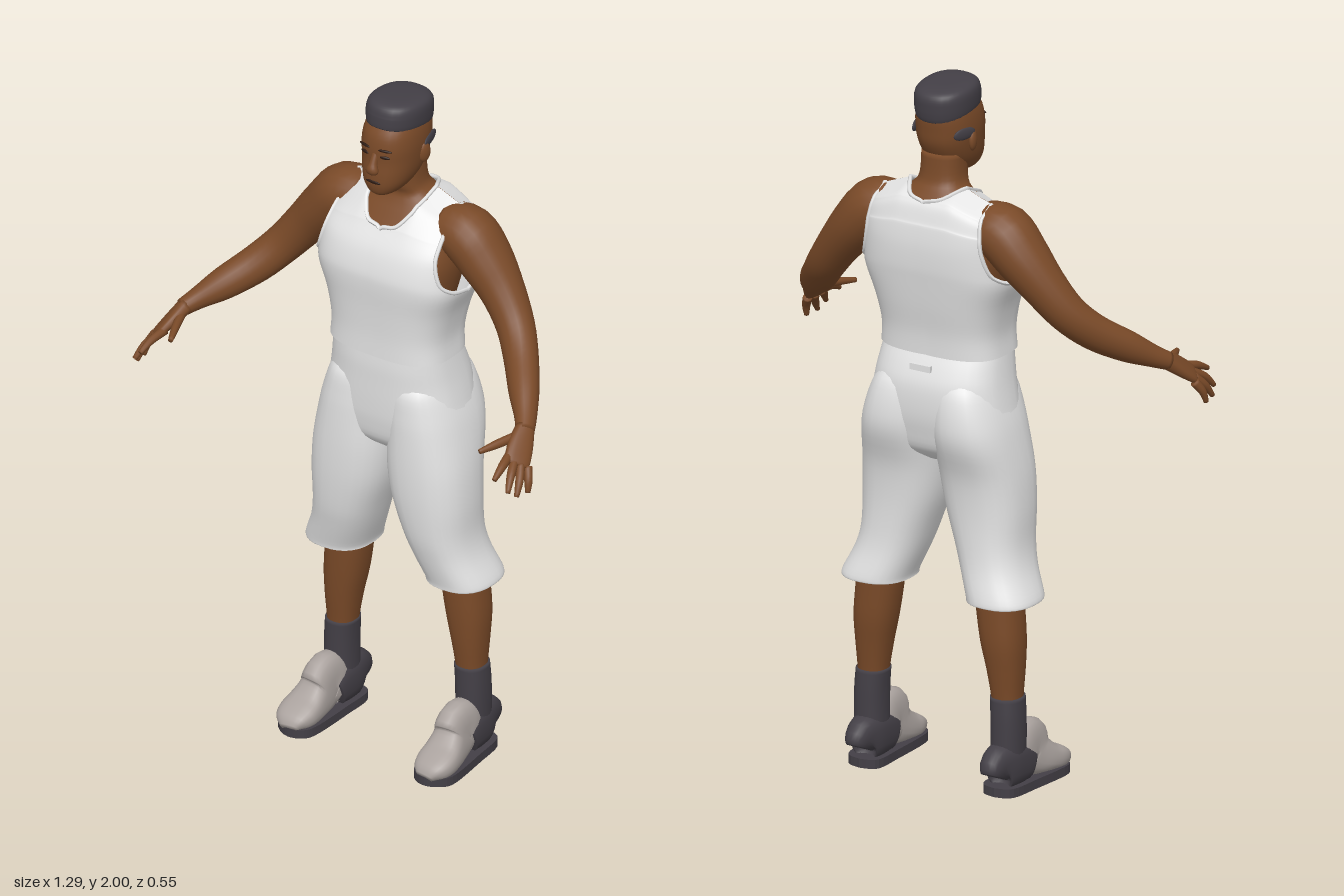
import * as THREE from 'three';
import { mergeGeometries, mergeVertices } from 'three/addons/utils/BufferGeometryUtils.js';

const V = (x, y, z) => new THREE.Vector3(x, y, z);

const material = (name, color, side = THREE.FrontSide) => {
  const m = new THREE.MeshStandardMaterial({ color, side });
  m.name = name;
  return m;
};

// Insert Catmull-Rom rows between the given rows of numbers
function smooth(rows, n = 4) {
  const out = [];
  for (let i = 0; i < rows.length - 1; i++) {
    const a = rows[Math.max(0, i - 1)], b = rows[i], c = rows[i + 1], d = rows[Math.min(rows.length - 1, i + 2)];
    for (let k = 0; k < n; k++) {
      const t = k / n;
      out.push(b.map((_, q) => b[q] + 0.5 * t * (c[q] - a[q] + t * (2 * a[q] - 5 * b[q] + 4 * c[q] - d[q]
        + t * (3 * (b[q] - c[q]) + d[q] - a[q])))));
    }
  }
  out.push(rows[rows.length - 1]);
  return out;
}

const pow = (c, p) => Math.sign(c) * Math.abs(c) ** (2 / p);

// Closed skin over rings of points, with capped ends
function skinRings(rings) {
  const n = rings[0].length, pos = [], idx = [];
  rings.forEach(r => r.forEach(p => pos.push(p.x, p.y, p.z)));
  for (let i = 0; i < rings.length - 1; i++) for (let j = 0; j < n; j++) {
    const a = i * n + j, b = i * n + (j + 1) % n;
    idx.push(a, a + n, b, b, a + n, b + n);
  }
  [0, rings.length - 1].forEach((e, end) => {
    const c = V(0, 0, 0);
    rings[e].forEach(p => c.addScaledVector(p, 1 / n));
    const k = pos.length / 3;
    pos.push(c.x, c.y, c.z);
    for (let j = 0; j < n; j++) {
      const a = e * n + j, b = e * n + (j + 1) % n;
      if (end) idx.push(k, b, a);
      else idx.push(k, a, b);
    }
  });
  const g = new THREE.BufferGeometry();
  g.setAttribute('position', new THREE.Float32BufferAttribute(pos, 3));
  g.setIndex(idx);
  g.computeVertexNormals();
  return g;
}

// Level rings, bottom to top: [y, centre x, half width, front z, back z]
const stack = (rows, p = 2.3, n = 28) => skinRings(smooth(rows).map(([y, cx, rx, zf, zb]) =>
  Array.from({ length: n }, (_, j) => {
    const a = j / n * Math.PI * 2;
    return V(cx + rx * pow(Math.cos(a), p), y, (zf + zb) / 2 + (zf - zb) / 2 * pow(Math.sin(a), p));
  })));

// Rings along a path: [x, y, z, radius along side, other radius]
function limb(rows, side, p = 2, n = 20) {
  const s = smooth(rows), c = s.map(r => V(r[0], r[1], r[2]));
  return skinRings(s.map((r, i) => {
    const T = c[Math.min(i + 1, c.length - 1)].clone().sub(c[Math.max(i - 1, 0)]).normalize();
    const S = side.clone().addScaledVector(T, -side.dot(T)).normalize();
    const N = S.clone().cross(T);
    return Array.from({ length: n }, (_, j) => {
      const a = j / n * Math.PI * 2;
      return c[i].clone().addScaledVector(S, r[3] * pow(Math.cos(a), p)).addScaledVector(N, r[4] * pow(Math.sin(a), p));
    });
  }));
}

// Copy to the other side in x and keep faces outward
function mirrored(geo) {
  const g = geo.clone().scale(-1, 1, 1), ix = g.index.array;
  for (let i = 0; i < ix.length; i += 3) [ix[i], ix[i + 1]] = [ix[i + 1], ix[i]];
  g.computeVertexNormals();
  return g;
}

const blob = (x, y, z, sx, sy, sz, ry = 0) =>
  new THREE.SphereGeometry(1, 16, 12).scale(sx, sy, sz).rotateY(ry).translate(x, y, z);

// Tank top halves with neck and arm openings, plus the edge paths
function tankTop() {
  // y, body half width, sheet edge, front neck, back neck, front z, back z
  const rows = smooth([
    [1.235, .185, .185, 0, 0, .02, -.23], [1.30, .182, .182, 0, 0, .02, -.235], [1.38, .198, .198, 0, 0, .025, -.25],
    [1.455, .225, .225, 0, 0, .032, -.262], [1.50, .225, .20, 0, 0, .03, -.268], [1.56, .22, .183, 0, 0, .012, -.27],
    [1.612, .215, .178, 0, 0, -.02, -.265], [1.626, .214, .177, .045, 0, -.03, -.26], [1.66, .21, .174, .073, 0, -.06, -.25],
    [1.678, .205, .172, .08, 0, -.08, -.24], [1.69, .205, .171, .085, .05, -.105, -.225], [1.715, .2, .17, .09, .09, -.16, -.161],
  ]);
  const N = 16, neck = [], arm = [], sheets = [];
  [1, -1].forEach((face, f) => {
    const pos = [], idx = [], nk = [], ar = [];
    rows.forEach((r, i) => {
      const [y, w, edge, nf, nb, zf, zb] = r;
      const inner = Math.max(0, f ? nb : nf), outer = Math.min(w, edge);
      const drop = .035 * THREE.MathUtils.smoothstep(y, 1.55, 1.7);
      for (let j = 0; j <= N; j++) {
        const x = inner + (outer - inner) * Math.sin(j / N * Math.PI / 2);
        const bulge = Math.max(0, 1 - (x / w) ** 3) ** (1 / 3);
        const p = V(x, y - drop * Math.max(0, (x - .08) / .09), (zf + zb) / 2 + face * (zf - zb) / 2 * bulge);
        pos.push(p.x, p.y, p.z);
        if (j === 0 && (inner > 0 || rows[i + 1][3 + f] > 0)) nk.push(p);
        if (j === N && y > 1.45 && (w - edge > .001 || rows[i + 1][1] - rows[i + 1][2] > .001)) ar.push(p);
        if (i && j) {
          const d = i * (N + 1) + j, c = d - 1, b = d - N - 1, a = b - 1;
          if (face > 0) idx.push(a, b, c, b, d, c);
          else idx.push(a, c, b, b, c, d);
        }
      }
    });
    if (f) { nk.pop(); ar.pop(); nk.reverse(); ar.reverse(); }
    neck.push(...nk);
    arm.push(...ar);
    const g = new THREE.BufferGeometry();
    g.setAttribute('position', new THREE.Float32BufferAttribute(pos, 3));
    g.setIndex(idx);
    const m = mirrored(g);
    m.deleteAttribute('normal');
    sheets.push(g, m);
  });
  const sheet = mergeVertices(mergeGeometries(sheets), 1e-4);
  sheet.computeVertexNormals();
  const trim = pts => new THREE.TubeGeometry(new THREE.CatmullRomCurve3(pts), 60, .006, 6);
  return { sheet, neck: trim(neck), arm: trim(arm) };
}

export function createModel() {
  const model = new THREE.Group();
  model.name = 'standingPlayer';
  const skin = material('brown skin', 0x7a4a28), dark = material('charcoal', 0x433f46);
  const cloth = material('white cloth', 0xe4e4e4, THREE.DoubleSide);
  const grey = material('shoe grey', 0xaaa29e), feature = material('face dark', 0x2c1a12);
  const add = (name, geo, mat) => {
    const m = new THREE.Mesh(geo, mat);
    m.name = name;
    model.add(m);
  };
  const pair = (name, geo, mat) => {
    add(name + 'Left', geo, mat);
    add(name + 'Right', mirrored(geo), mat);
  };

  // Head and neck
  add('head', stack([[1.727, 0, .028, -.005, -.08], [1.737, 0, .045, .004, -.12], [1.76, 0, .062, .01, -.15], [1.79, 0, .073, .01, -.178],
    [1.83, 0, .08, .006, -.2], [1.87, 0, .083, .005, -.207], [1.91, 0, .08, -.004, -.21], [1.95, 0, .07, -.03, -.2]]), skin);
  add('upperBodySkin', stack([[1.38, 0, .16, 0, -.22], [1.5, 0, .185, .015, -.25], [1.58, 0, .178, -.01, -.25], [1.64, 0, .16, -.05, -.238],
    [1.675, 0, .125, -.075, -.225], [1.70, 0, .085, -.085, -.21], [1.73, 0, .064, -.075, -.195], [1.80, 0, .06, -.07, -.19]], 2.4), skin);
  const hair = stack([[1.915, 0, .076, -.012, -.21], [1.93, 0, .08, -.012, -.214], [1.965, 0, .081, -.016, -.216],
    [1.985, 0, .073, -.028, -.205], [1.994, 0, .05, -.055, -.175], [1.996, 0, .015, -.1, -.13]]);
  const hp = hair.attributes.position;
  for (let i = 0; i < hp.count; i++) hp.setY(i, hp.getY(i) + .16 * (hp.getZ(i) + .1) * (hp.getY(i) < 1.95 ? 1 : .45));
  hair.computeVertexNormals();
  add('hair', hair, dark);
  pair('sideHair', blob(.076, 1.862, -.15, .006, .017, .04, .25), dark);
  pair('ear', blob(.081, 1.835, -.115, .011, .03, .02, -.3), skin);
  add('nose', limb([[0, 1.862, -.002, .009, .006], [0, 1.83, .008, .012, .012], [0, 1.81, .014, .019, .014], [0, 1.8, .008, .014, .006]], V(1, 0, 0)), skin);
  pair('eye', blob(.033, 1.853, 0, .015, .005, .004, .25), feature);
  pair('brow', blob(.034, 1.874, .001, .02, .004, .004, .25), feature);
  add('mouth', blob(0, 1.772, .009, .024, .005, .004), feature);

  // Arms and hands
  pair('arm', limb([[.13, 1.61, -.145, .07, .065], [.2, 1.603, -.15, .084, .08], [.26, 1.545, -.15, .08, .074], [.325, 1.47, -.14, .064, .062],
    [.385, 1.395, -.115, .053, .055], [.44, 1.335, -.065, .046, .052], [.5, 1.285, .005, .041, .045], [.545, 1.25, .06, .032, .031],
    [.572, 1.228, .1, .026, .024]], V(0, 0, 1)), skin);
  const across = V(.045, -.03, -.035).normalize();
  pair('palm', limb([[.565, 1.235, .09, .026, .022], [.582, 1.205, .135, .036, .018], [.598, 1.178, .172, .037, .013],
    [.602, 1.17, .182, .03, .008]], across, 2.5), skin);
  const fingers = {
    indexFinger: [[.575, 1.192, .175], [.585, 1.18, .225], [.59, 1.16, .268]],
    middleFinger: [[.592, 1.178, .178], [.61, 1.155, .22], [.622, 1.122, .25]],
    ringFinger: [[.607, 1.168, .17], [.625, 1.138, .2], [.633, 1.102, .225]],
    littleFinger: [[.62, 1.16, .155], [.635, 1.13, .172], [.64, 1.098, .182]],
    thumb: [[.56, 1.22, .12], [.537, 1.214, .18], [.515, 1.207, .232]],
  };
  for (const [name, pts] of Object.entries(fingers))
    pair(name, limb(pts.map((p, i) => [...p, [.013, .012, .007][i], [.013, .011, .007][i]]), across, 2, 10), skin);

  // Tank top
  const top = tankTop();
  add('tankTop', top.sheet, cloth);
  pair('neckTrim', top.neck, cloth);
  pair('armholeTrim', top.arm, cloth);

  // Shorts
  add('shortsSeat', stack([[.92, 0, .1, -.05, -.18], [.96, 0, .19, -.005, -.235], [1.02, 0, .218, .01, -.255], [1.08, 0, .208, .015, -.265],
    [1.15, 0, .195, .017, -.264], [1.2, 0, .187, .018, -.248], [1.242, 0, .181, .016, -.227]], 2.6, 36), cloth);
  pair('shortsLeg', stack([[.63, .172, .075, -.045, -.195], [.57, .195, .088, -.04, -.23], [.545, .199, .097, -.033, -.243], [.56, .197, .098, -.03, -.244],
    [.63, .168, .096, -.012, -.228], [.7, .149, .101, .004, -.222], [.8, .133, .117, .016, -.224], [.9, .123, .121, .021, -.238],
    [1.0, .115, .113, .021, -.272], [1.07, .108, .103, .018, -.276], [1.14, .1, .085, .008, -.262], [1.18, .095, .06, -.03, -.235]], 2.4), cloth);
  add('waistTab', new THREE.BoxGeometry(.065, .018, .012).translate(0, 1.205, -.25), cloth);

  // Legs, socks and shoes
  pair('leg', stack([[.2, .217, .038, -.11, -.19], [.27, .214, .041, -.105, -.195], [.35, .21, .05, -.096, -.205], [.43, .203, .06, -.09, -.215],
    [.52, .193, .064, -.087, -.216], [.64, .18, .066, -.085, -.216]]), skin);
  pair('sock', stack([[.08, .218, .045, -.1, -.205], [.16, .219, .045, -.1, -.204], [.22, .218, .045, -.1, -.203], [.272, .215, .045, -.1, -.2]]), dark);
  // [z, centre x, half width, height]
  const shoe = rows => limb(rows.map(([z, cx, hw, h]) => [cx, .012 + h / 2, z, hw, h / 2]), V(1, 0, 0), 2.6, 24);
  pair('shoeFront', shoe([[-.105, .22, .046, .13], [-.085, .221, .046, .165], [-.068, .222, .044, .172], [-.045, .224, .048, .128], [0, .228, .056, .088],
    [.04, .23, .058, .068], [.07, .228, .047, .05], [.088, .226, .025, .025]]), grey);
  pair('shoeHeel', shoe([[-.22, .216, .028, .09], [-.208, .216, .04, .125], [-.17, .217, .049, .135], [-.12, .219, .051, .13], [-.09, .22, .05, .11]]), dark);
  const outline = new THREE.Shape(new THREE.SplineCurve([[.216, .222], [.168, .2], [.165, .1], [.168, -.03], [.185, -.075], [.228, -.09],
    [.27, -.07], [.289, -.03], [.278, .1], [.264, .2], [.216, .222]].map(p => new THREE.Vector2(...p))).getPoints(48));
  const sole = mergeVertices(new THREE.ExtrudeGeometry(outline, { depth: .026, bevelEnabled: false }));
  pair('sole', sole.rotateX(-Math.PI / 2), dark);
  return model;
}
